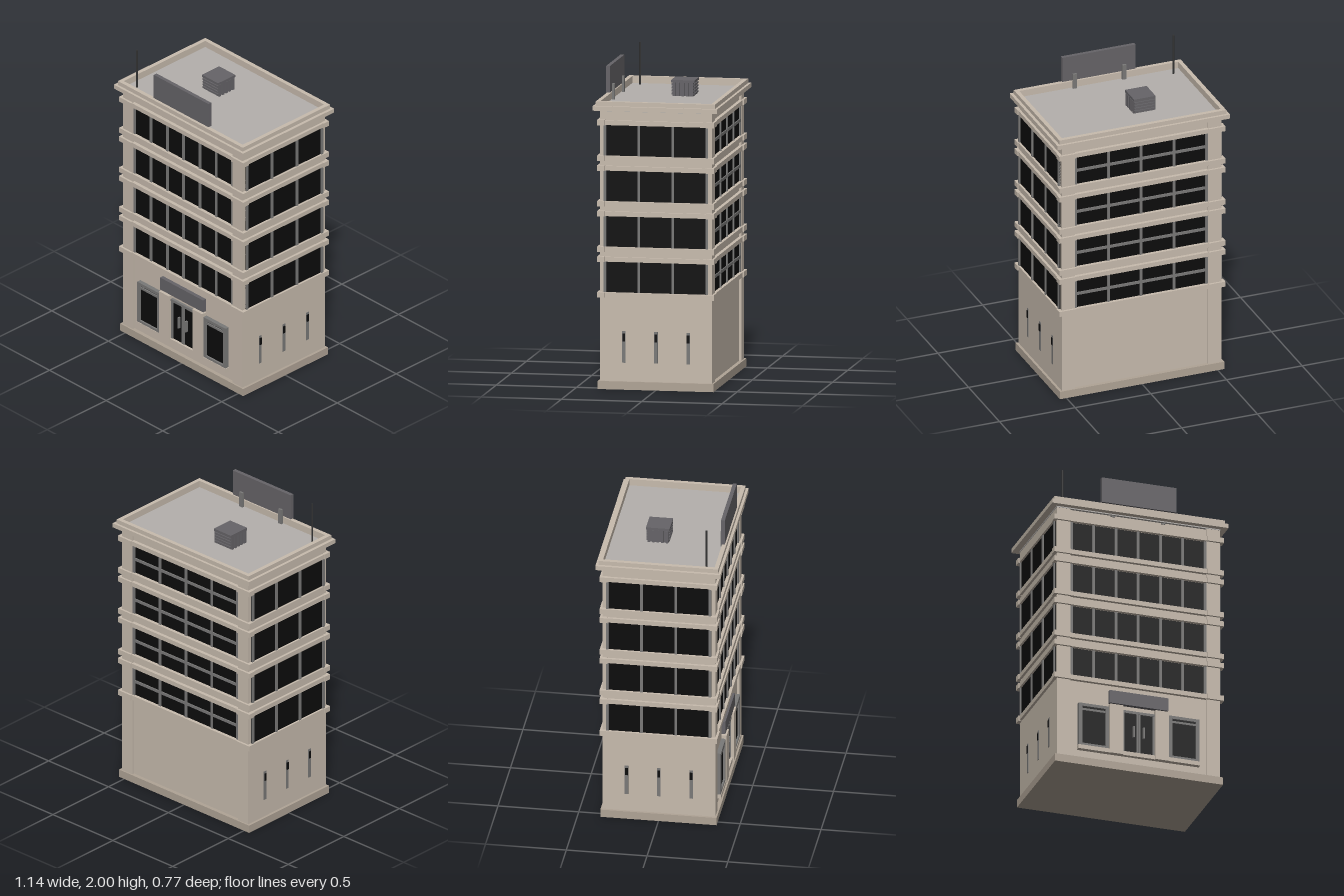
import * as THREE from 'three';

const mat = (color, flat = true) => new THREE.MeshStandardMaterial({ color, flatShading: flat });

export function createModel() {
  const model = new THREE.Group();
  model.name = 'officeBuilding';
  const wall = mat(0xc8bcae), baseTone = mat(0xb0a496), glass = mat(0x0c0c0c);
  const frame = mat(0x7a7978), metal = mat(0x666468), roofTone = mat(0xb4b0ac), dark = mat(0x333333, false);

  // Box given by its limits on each axis
  function box(name, x0, x1, y0, y1, z0, z1, material, parent = model) {
    const mesh = new THREE.Mesh(new THREE.BoxGeometry(x1 - x0, y1 - y0, z1 - z0), material);
    mesh.position.set((x0 + x1) / 2, (y0 + y1) / 2, (z0 + z1) / 2);
    mesh.name = name;
    parent.add(mesh);
    return mesh;
  }

  // Rectangular ring lying flat, used for cornice and parapet
  function ring(name, ox, oz, ix, iz, y0, y1) {
    const rect = (P, a, b) => {
      const p = new P();
      p.moveTo(-a, -b); p.lineTo(a, -b); p.lineTo(a, b); p.lineTo(-a, b); p.closePath();
      return p;
    };
    const shape = rect(THREE.Shape, ox, oz);
    shape.holes.push(rect(THREE.Path, ix, iz));
    const geo = new THREE.ExtrudeGeometry(shape, { depth: y1 - y0, bevelEnabled: false });
    geo.rotateX(-Math.PI / 2);
    const mesh = new THREE.Mesh(geo, wall);
    mesh.position.y = y0;
    mesh.name = name;
    model.add(mesh);
  }

  // Strip of panes facing +z in its own group, then turned to its side
  function windowStrip(name, half, y0, y1, columns, zGlass, zFrame, angle, midBar) {
    const g = new THREE.Group();
    g.name = name;
    g.rotation.y = angle;
    box('glass', -half, half, y0, y1, zGlass - 0.02, zGlass, glass, g);
    const w = 0.016, pitch = (2 * half - w) / columns;
    for (let i = 0; i <= columns; i++) {
      const x = -half + i * pitch;
      box('mullion', x, x + w, y0, y1, zGlass - 0.01, zFrame, frame, g);
    }
    if (midBar) {
      const y = (y0 + y1) / 2;
      box('crossBar', -half, half, y - 0.009, y + 0.009, zGlass - 0.01, zFrame - 0.002, frame, g);
    }
    model.add(g);
  }

  // Base and walls, with raised corner piers on front and back
  box('base', -0.543, 0.543, 0, 0.05, -0.36, 0.36, baseTone);
  box('walls', -0.527, 0.527, 0.05, 1.725, -0.335, 0.335, wall);
  for (const sx of [-1, 1]) for (const sz of [-1, 1]) {
    const xs = [sx * 0.44, sx * 0.527].sort((a, b) => a - b);
    const zs = [sz * 0.335, sz * 0.35].sort((a, b) => a - b);
    box('cornerPier', ...xs, 0.05, 1.725, ...zs, wall);
  }

  // Four office floors, each with a sill and a head ledge
  for (let i = 0; i < 4; i++) {
    const y = 0.6 + i * 0.2817;
    const ledges = [['sill', y - 0.034, y], ['head', y + 0.187, y + 0.22]];
    for (const [n, a, b] of ledges) {
      box(n + 'Ledge', -0.543, 0.543, a + 0.002, b - 0.002, -0.357, 0.357, wall);
      for (const sx of [-1, 1]) for (const sz of [-1, 1])
        box(n + 'Corner', sx * 0.495 - 0.054, sx * 0.495 + 0.054, a, b, sz * 0.34 - 0.024, sz * 0.34 + 0.024, wall);
    }
    windowStrip('frontWindows', 0.44, y, y + 0.187, 6, 0.338, 0.347, 0, false);
    windowStrip('backWindows', 0.44, y, y + 0.187, 4, 0.338, 0.347, Math.PI, true);
    for (const s of [-1, 1])
      windowStrip('sideWindows', 0.325, y, y + 0.187, 3, 0.531, 0.54, s * Math.PI / 2, false);
  }

  // Shop windows and piers either side of the entrance
  for (const s of [-1, 1]) {
    const g = new THREE.Group();
    g.name = s > 0 ? 'leftShopFront' : 'rightShopFront';
    g.position.x = s * 0.292;
    model.add(g);
    box('windowSill', -0.102, 0.102, 0.105, 0.132, 0.33, 0.365, wall, g);
    box('shopGlass', -0.085, 0.085, 0.14, 0.4, 0.33, 0.35, glass, g);
    for (const t of [-1, 1])
      box('sideFrame', t * 0.087 - 0.011, t * 0.087 + 0.011, 0.132, 0.415, 0.33, 0.362, frame, g);
    box('topFrame', -0.09, 0.09, 0.396, 0.415, 0.33, 0.362, frame, g);
    box('transom', -0.09, 0.09, 0.37, 0.384, 0.33, 0.358, frame, g);
    box('bottomFrame', -0.09, 0.09, 0.132, 0.147, 0.33, 0.362, frame, g);
    box('entrancePier', s * 0.147 - 0.043, s * 0.147 + 0.043, 0.105, 0.435, 0.33, 0.368, wall);
  }

  // Double doors
  box('doorStep', -0.105, 0.105, 0.105, 0.132, 0.33, 0.36, wall);
  box('doorGlass', -0.1, 0.1, 0.13, 0.4, 0.33, 0.343, glass);
  box('doorHead', -0.105, 0.105, 0.395, 0.412, 0.33, 0.352, frame);
  for (const s of [-1, 1]) {
    box('doorJamb', s * 0.098 - 0.007, s * 0.098 + 0.007, 0.132, 0.395, 0.33, 0.35, frame);
    box('doorStile', s * 0.007 - 0.005, s * 0.007 + 0.005, 0.132, 0.395, 0.33, 0.35, frame);
    box('doorHandle', s * 0.032 - 0.005, s * 0.032 + 0.005, 0.235, 0.31, 0.34, 0.36, frame);
  }
  box('entranceSign', -0.19, 0.19, 0.445, 0.53, 0.33, 0.36, metal);

  // Wall lamps on both sides
  for (const s of [-1, 1]) for (const z of [-0.2, 0, 0.2]) {
    const x = s * 0.525;
    box('lampPlate', x - 0.005, x + 0.005, 0.165, 0.36, z - 0.011, z + 0.011, frame);
    box('lamp', x - 0.009, x + 0.009, 0.297, 0.345, z - 0.008, z + 0.008, glass);
  }

  // Roof deck, cornice and parapet
  box('roofDeck', -0.53, 0.53, 1.718, 1.737, -0.352, 0.352, roofTone);
  ring('cornice', 0.57, 0.387, 0.525, 0.345, 1.725, 1.753);
  ring('parapet', 0.551, 0.371, 0.525, 0.345, 1.753, 1.78);

  // Roof sign on two posts
  box('roofSign', -0.242, 0.242, 1.79, 1.955, 0.34, 0.364, metal);
  for (const s of [-1, 1])
    box('signPost', s * 0.163 - 0.013, s * 0.163 + 0.013, 1.71, 1.835, 0.326, 0.341, frame);

  // Air conditioner with slats on all sides
  const ac = new THREE.Group();
  ac.name = 'airConditioner';
  ac.position.set(-0.11, 0, -0.06);
  model.add(ac);
  box('acBody', -0.065, 0.065, 1.735, 1.822, -0.065, 0.065, metal, ac);
  box('acLid', -0.071, 0.071, 1.82, 1.836, -0.073, 0.073, metal, ac);
  for (const s of [-1, 1]) {
    for (let i = 0; i < 4; i++) {
      const y = 1.745 + i * 0.019;
      box('acSlat', -0.066, 0.066, y, y + 0.011, s * 0.066 - 0.006, s * 0.066 + 0.006, metal, ac);
    }
    for (let i = 0; i < 5; i++) {
      const z = -0.056 + i * 0.028;
      box('acRib', s * 0.066 - 0.007, s * 0.066 + 0.007, 1.737, 1.82, z - 0.008, z + 0.008, metal, ac);
    }
  }

  // Antenna
  const antenna = new THREE.Mesh(new THREE.CylinderGeometry(0.006, 0.006, 0.265, 10), dark);
  antenna.position.set(-0.47, 1.8675, 0.287);
  antenna.name = 'antenna';
  model.add(antenna);

  return model;
}
